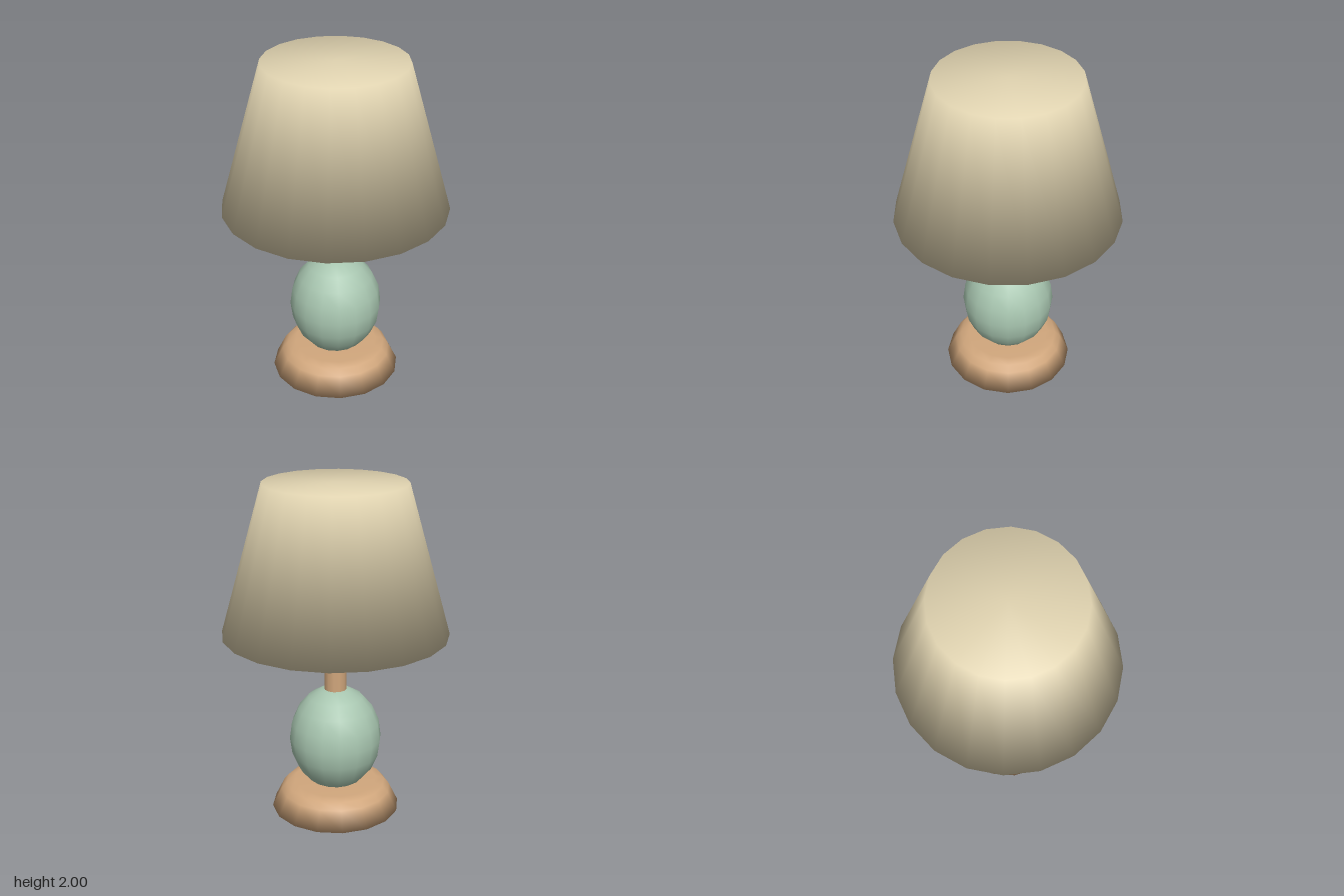
import * as THREE from 'three';

// Turned solid from rows of [radius, y, normalOut, normalUp], bottom to top.
// The normals are shared across the rims so the shading rolls softly over them.
function turned(rows, segments) {
  const geo = new THREE.LatheGeometry(rows.map(([r, y]) => new THREE.Vector2(r, y)), segments);
  const normal = geo.attributes.normal;
  for (let i = 0; i < normal.count; i++) {
    const [, , out, up] = rows[i % rows.length];
    const a = (Math.floor(i / rows.length) / segments) * Math.PI * 2;
    const n = new THREE.Vector3(Math.sin(a) * out, up, Math.cos(a) * out).normalize();
    normal.setXYZ(i, n.x, n.y, n.z);
  }
  return geo;
}

export function createModel() {
  const lamp = new THREE.Group();
  lamp.name = 'tableLamp';

  const material = (name, color) => {
    const m = new THREE.MeshStandardMaterial({ color });
    m.name = name;
    return m;
  };
  const wood = material('warmWood', 0xd0a67c);
  const glaze = material('sageGlaze', 0xa8c6b0);
  const linen = material('creamLinen', 0xe0d3b0);

  const add = (name, geo, mat, y = 0) => {
    const mesh = new THREE.Mesh(geo, mat);
    mesh.name = name;
    mesh.position.y = y;
    lamp.add(mesh);
    return mesh;
  };

  // Flared foot with a rounded upper edge
  add('base', turned([
    [0, 0, 0, -1],
    [0.388, 0, 0.08, -1],
    [0.332, 0.115, 0.8, 0.6],
    [0.3, 0.153, 0.5, 0.87],
    [0.25, 0.168, 0.06, 1],
    [0, 0.168, 0, 1],
  ], 16), wood);

  // Egg-shaped ceramic body, sunk slightly into the foot
  const body = add('body', new THREE.SphereGeometry(0.277, 16, 10), glaze, 0.45);
  body.scale.y = 0.325 / 0.277;

  // Stem between body and shade
  add('stem', new THREE.CylinderGeometry(0.067, 0.067, 0.42, 12), wood, 0.95);

  // Closed tapered shade
  add('shade', turned([
    [0, 1.117, 0, -1],
    [0.667, 1.117, 0.23, -0.97],
    [0.417, 2, 0.43, 0.9],
    [0, 2, 0, 1],
  ], 20), linen);

  return lamp;
}
